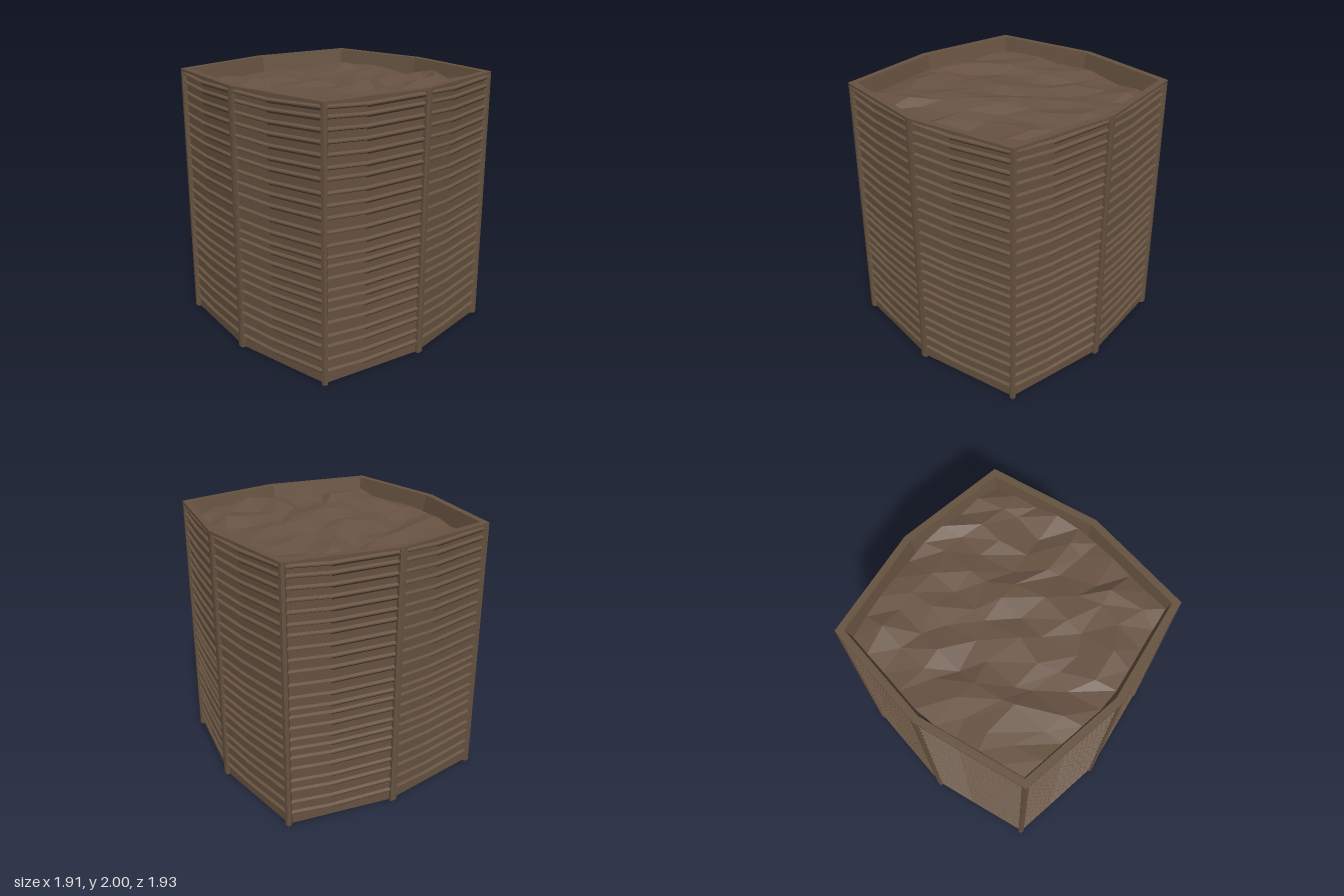
import * as THREE from 'three';

const wood = new THREE.MeshStandardMaterial({ color: 0x665240, flatShading: true });
wood.name = 'brown wood';
const earth = new THREE.MeshStandardMaterial({ color: 0x685343, flatShading: true });
earth.name = 'brown soil';

// Eight-sided outline: four corners and four bowed side middles
const outline = [
  [-0.83, 0.83], [0, 0.965], [0.83, 0.83], [0.955, 0],
  [0.83, -0.83], [0, -0.965], [-0.83, -0.83], [-0.955, 0],
].map(([x, z]) => new THREE.Vector3(x, 0, z));

// Copy of a path at a given scale and height
const ring = (pts, s, y) => pts.map((p) => new THREE.Vector3(p.x * s, y, p.z * s));

// Flat-shaded skin between successive cross-sections
function loft(rings, closed = true) {
  const v = [];
  for (let r = 0; r + 1 < rings.length; r++) {
    const a = rings[r], b = rings[r + 1], n = a.length;
    for (let i = 0; i < (closed ? n : n - 1); i++) {
      const j = (i + 1) % n;
      for (const p of [a[i], a[j], b[j], a[i], b[j], b[i]]) v.push(p.x, p.y, p.z);
    }
  }
  const g = new THREE.BufferGeometry();
  g.setAttribute('position', new THREE.Float32BufferAttribute(v, 3));
  g.computeVertexNormals();
  return g;
}

function add(parent, geometry, material, name) {
  const mesh = new THREE.Mesh(geometry, material);
  mesh.name = name;
  parent.add(mesh);
}

function seeded(seed) {
  return () => {
    seed = (seed * 16807) % 2147483647;
    return seed / 2147483647;
  };
}

export function createModel() {
  const model = new THREE.Group();
  model.name = 'planterBed';

  // Container with base, walls, top rim and tapered inside
  add(model, loft([
    ring(outline, 0, 0), ring(outline, 0.972, 0), ring(outline, 0.972, 1.98),
    ring(outline, 1, 1.98), ring(outline, 1, 2), ring(outline, 0.945, 2),
    ring(outline, 0.9, 1.8),
  ]), wood, 'container');

  // Posts wrapped around each bend of the outline
  const posts = new THREE.Group();
  posts.name = 'posts';
  model.add(posts);
  outline.forEach((v, i) => {
    const toward = (k) => {
      const q = outline[(i + k + 8) % 8];
      return v.clone().addScaledVector(q.clone().sub(v).normalize(), 0.026);
    };
    const outer = [toward(-1), v, toward(1)];
    const inner = outer.map((p) => p.clone().multiplyScalar(0.96)).reverse();
    const section = [...outer, ...inner];
    const centre = section.map(() => v.clone().multiplyScalar(0.975));
    add(posts, loft([centre, ring(section, 1, 0), ring(section, 1, 1.985)]), wood, 'post');
  });

  // Sagging slat lips, thin on the first stretch and thicker on the second
  const slats = new THREE.Group();
  slats.name = 'slats';
  model.add(slats);
  const heights = [0.08, 0.17, 0.27, 0.35, 0.45, 0.54, 0.615, 0.69, 0.78, 0.865, 0.93,
    1.015, 1.11, 1.21, 1.295, 1.38, 1.475, 1.55, 1.635, 1.72, 1.8, 1.88, 1.945];
  const stops = [[0, 0.012], [0.4, -0.006], [1, 0.01]];
  outline.forEach((a, i) => {
    const b = outline[(i + 1) % 8];
    for (const y of heights) {
      for (let k = 0; k < 2; k++) {
        const drop = k ? 0.02 : 0.012;
        const profile = [[0.97, -drop], [0.992, 0], [0.992, 0.009], [0.971, 0.02]];
        const rows = profile.map(([s, dy]) => [stops[k], stops[k + 1]].map(([t, sag]) => {
          const p = a.clone().lerp(b, t).multiplyScalar(s);
          p.y = y + sag + dy;
          return p;
        }));
        add(slats, loft(rows, false), wood, 'slat');
      }
    }
  });

  // Lumpy soil filling the container
  const random = seeded(41);
  const cells = 9;
  const plane = new THREE.PlaneGeometry(2, 2, cells, cells).rotateX(-Math.PI / 2);
  const pos = plane.attributes.position;
  for (let i = 0; i < pos.count; i++) {
    let u = pos.getX(i), w = pos.getZ(i);
    const inside = Math.abs(u) < 0.99 && Math.abs(w) < 0.99;
    const ju = random() - 0.5, jw = random() - 0.5, jh = random() - 0.5;
    if (inside) {
      u += ju * 0.13;
      w += jw * 0.13;
    }
    const lump = 0.02 * Math.sin(4 * u + 1) * Math.cos(5 * w) + 0.06 * jh;
    const y = 1.905 + lump - 0.035 * u * u * w * w + 0.015 * w;
    pos.setXYZ(i, u * (0.765 + 0.11 * (1 - Math.abs(w))), y,
      w * (0.765 + 0.12 * (1 - Math.abs(u))));
  }
  const soil = plane.toNonIndexed();
  soil.computeVertexNormals();
  add(model, soil, earth, 'soil');

  return model;
}
